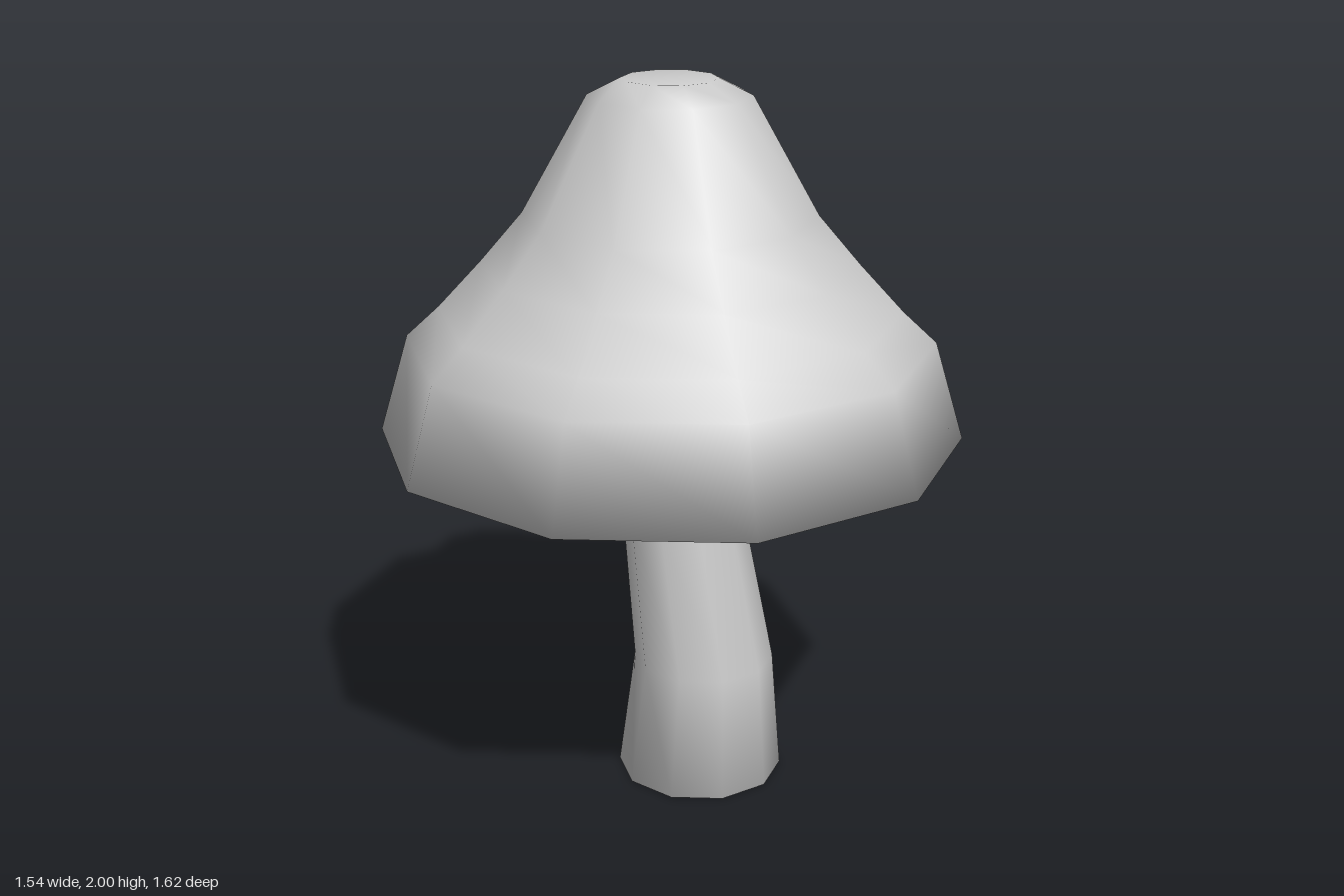
import * as THREE from 'three';
import { mergeVertices } from 'three/addons/utils/BufferGeometryUtils.js';

const SIDES = 10;

// Ten-sided turned form from [radius, height] pairs, bottom to top
function turned(profile) {
  return new THREE.LatheGeometry(profile.map(([r, y]) => new THREE.Vector2(r, y)), SIDES);
}

// Flared cap with a flat underside
function capGeometry() {
  const profile = [
    [0, 1.01], [0.81, 1.01], [0.727, 1.285], [0.635, 1.37], [0.515, 1.5],
    [0.4, 1.635], [0.22, 1.955], [0.13, 2], [0, 2],
  ];
  const geometry = turned(profile);
  // Soft rim: blend wall and underside evenly
  const normal = geometry.attributes.normal;
  const rim = new THREE.Vector2(0.957, 0.289 - 1).normalize();
  for (let i = 0; i <= SIDES; i++) {
    const a = (i / SIDES) * Math.PI * 2;
    normal.setXYZ(i * profile.length + 1, Math.sin(a) * rim.x, rim.y, Math.cos(a) * rim.x);
  }
  return geometry;
}

// Stem whose rings drift sideways to make the bend
function stemGeometry() {
  const rings = [
    // radius, height, x offset
    [0, 0, 0.093], [0.235, 0, 0.093], [0.198, 0.35, 0.103],
    [0.171, 0.78, 0.04], [0.163, 1.01, 0.012], [0.16, 1.1, 0.0], [0, 1.1, 0.0],
  ];
  const geometry = turned(rings);
  const position = geometry.attributes.position;
  for (let i = 0; i < position.count; i++) {
    position.setX(i, position.getX(i) + rings[i % rings.length][2]);
  }
  geometry.deleteAttribute('uv');
  geometry.deleteAttribute('normal');
  const welded = mergeVertices(geometry, 1e-4);
  welded.computeVertexNormals();
  return welded;
}

export function createModel() {
  const group = new THREE.Group();
  group.name = 'mushroom';
  const grey = new THREE.MeshStandardMaterial({ color: 0xcccccc });
  grey.name = 'light grey';

  const cap = new THREE.Mesh(capGeometry(), grey);
  cap.name = 'cap';
  const stem = new THREE.Mesh(stemGeometry(), grey);
  stem.name = 'stem';
  group.add(cap, stem);
  return group;
}
